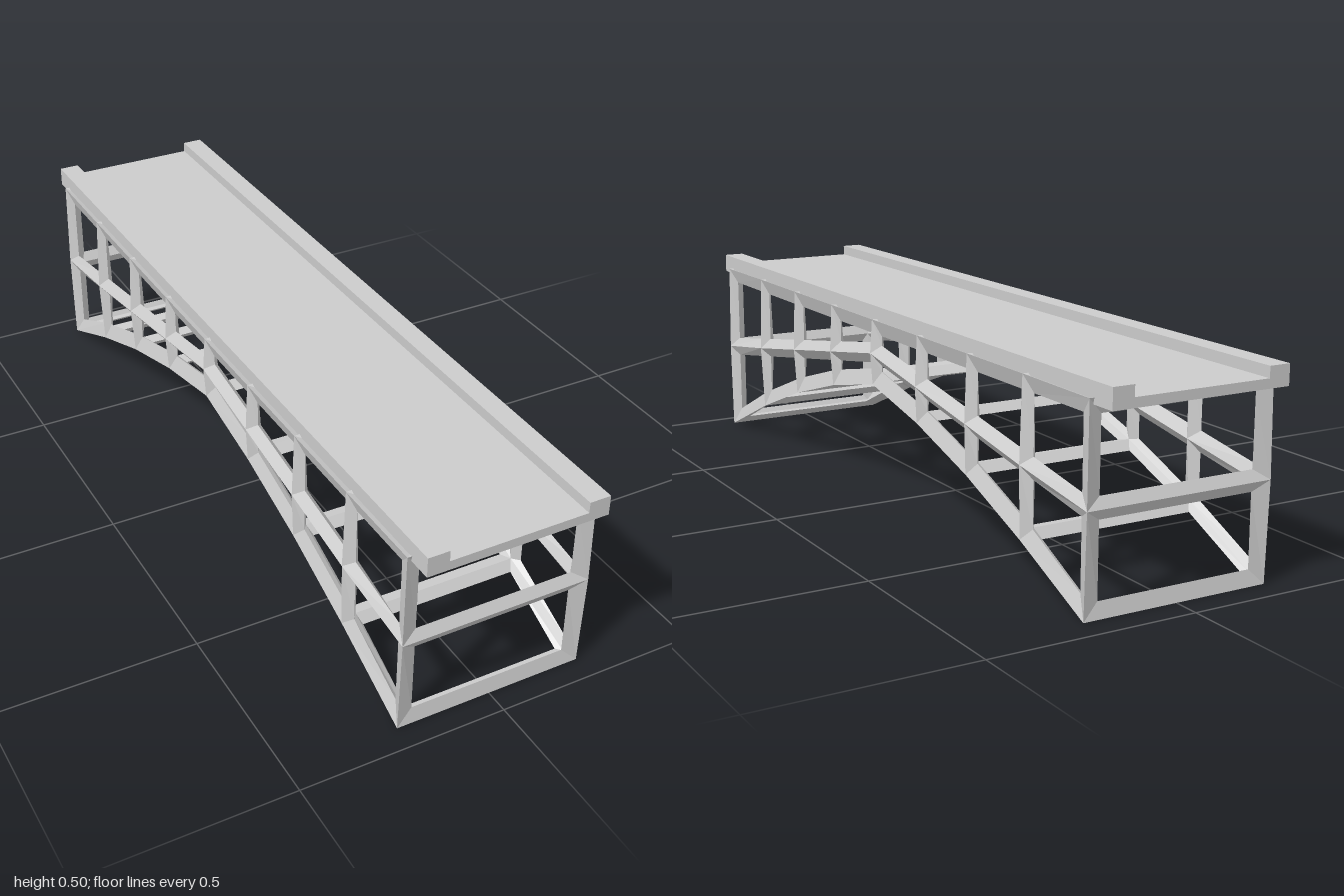
import * as THREE from 'three';

const HALF_WIDTH = 0.22;   // truss centreline in x
const RIDGE = 0.02;        // how far each bar's ridge rises from its face
const BAR = 0.025;         // half-width of each bar within its face
const TOP = 0.455;
const ARCH = [0.32, 0.272, 0.204, 0.118, 0.012];  // underside height, middle to end

// Node of the truss at a station (0..8 along z), level (0..2) and side (-1 / 1)
function node(station, level, side) {
  const n = Math.abs(station - 4);
  const y = [ARCH[n], 0.385 - 0.0375 * n, TOP][level];
  return new THREE.Vector3(side * HALF_WIDTH, y, 0.003 + (station - 4) * 0.2325);
}

// All panels of the box, corners counter-clockwise from outside
function trussPanels() {
  const panels = [];
  for (let i = 0; i < 8; i++) {
    for (let l = 0; l < 2; l++) {
      const side = (s) => [[i, l, s], [i, l + 1, s], [i + 1, l + 1, s], [i + 1, l, s]];
      panels.push(side(1), side(-1).reverse());
    }
    const span = (l) => [[i, l, -1], [i + 1, l, -1], [i + 1, l, 1], [i, l, 1]];
    panels.push(span(2), span(0).reverse());
  }
  for (let l = 0; l < 2; l++) {
    const end = (i) => [[i, l, -1], [i, l, 1], [i, l + 1, 1], [i, l + 1, -1]];
    panels.push(end(8), end(0).reverse());
  }
  return panels;
}

// Turns each panel edge into a bar of diamond section, mitred at the nodes
function trussGeometry() {
  const panels = trussPanels();
  const normals = new Map();
  for (const panel of panels) {
    const [a, b, , d] = panel.map((c) => node(...c));
    const normal = b.sub(a).cross(d.sub(a)).normalize();
    for (const c of panel) {
      const key = c.join();
      if (!normals.has(key)) normals.set(key, new THREE.Vector3());
      normals.get(key).add(normal);
    }
  }
  normals.forEach((n) => n.normalize());

  const positions = [];
  const quad = (a, b, c, d) => {
    for (const p of [a, b, c, a, c, d]) positions.push(p.x, p.y, p.z);
  };
  for (const panel of panels) {
    const p = panel.map((c) => node(...c));
    const ridge = (amount) => p.map((v, k) =>
      v.clone().addScaledVector(normals.get(panel[k].join()), amount));
    const outer = ridge(RIDGE);
    const inner = ridge(-RIDGE);
    const inset = p.map((v, k) => {
      const next = p[(k + 1) % 4].clone().sub(v).normalize();
      const prev = p[(k + 3) % 4].clone().sub(v).normalize();
      const sine = next.clone().cross(prev).length();
      return v.clone().addScaledVector(next.add(prev), BAR / sine);
    });
    for (let k = 0; k < 4; k++) {
      const m = (k + 1) % 4;
      quad(outer[k], outer[m], inset[m], inset[k]);
      quad(inner[m], inner[k], inset[k], inset[m]);
    }
  }
  const geometry = new THREE.BufferGeometry();
  geometry.setAttribute('position', new THREE.Float32BufferAttribute(positions, 3));
  geometry.computeVertexNormals();
  return geometry;
}

// Road slab with a raised kerb along each edge
function deckGeometry() {
  const profile = new THREE.Shape([
    [-0.22, 0.452], [0.22, 0.452], [0.22, 0.5], [0.168, 0.5],
    [0.168, 0.474], [-0.168, 0.474], [-0.168, 0.5], [-0.22, 0.5],
  ].map(([x, y]) => new THREE.Vector2(x, y)));
  return new THREE.ExtrudeGeometry(profile, { depth: 2, bevelEnabled: false }).translate(0, 0, -1);
}

export function createModel() {
  const grey = new THREE.MeshStandardMaterial({ color: 0xcccccc });
  grey.name = 'light grey';

  const bridge = new THREE.Group();
  bridge.name = 'bridge';
  const add = (name, geometry) => {
    const mesh = new THREE.Mesh(geometry, grey);
    mesh.name = name;
    bridge.add(mesh);
  };
  add('deck', deckGeometry());
  add('archedTruss', trussGeometry());
  return bridge;
}
